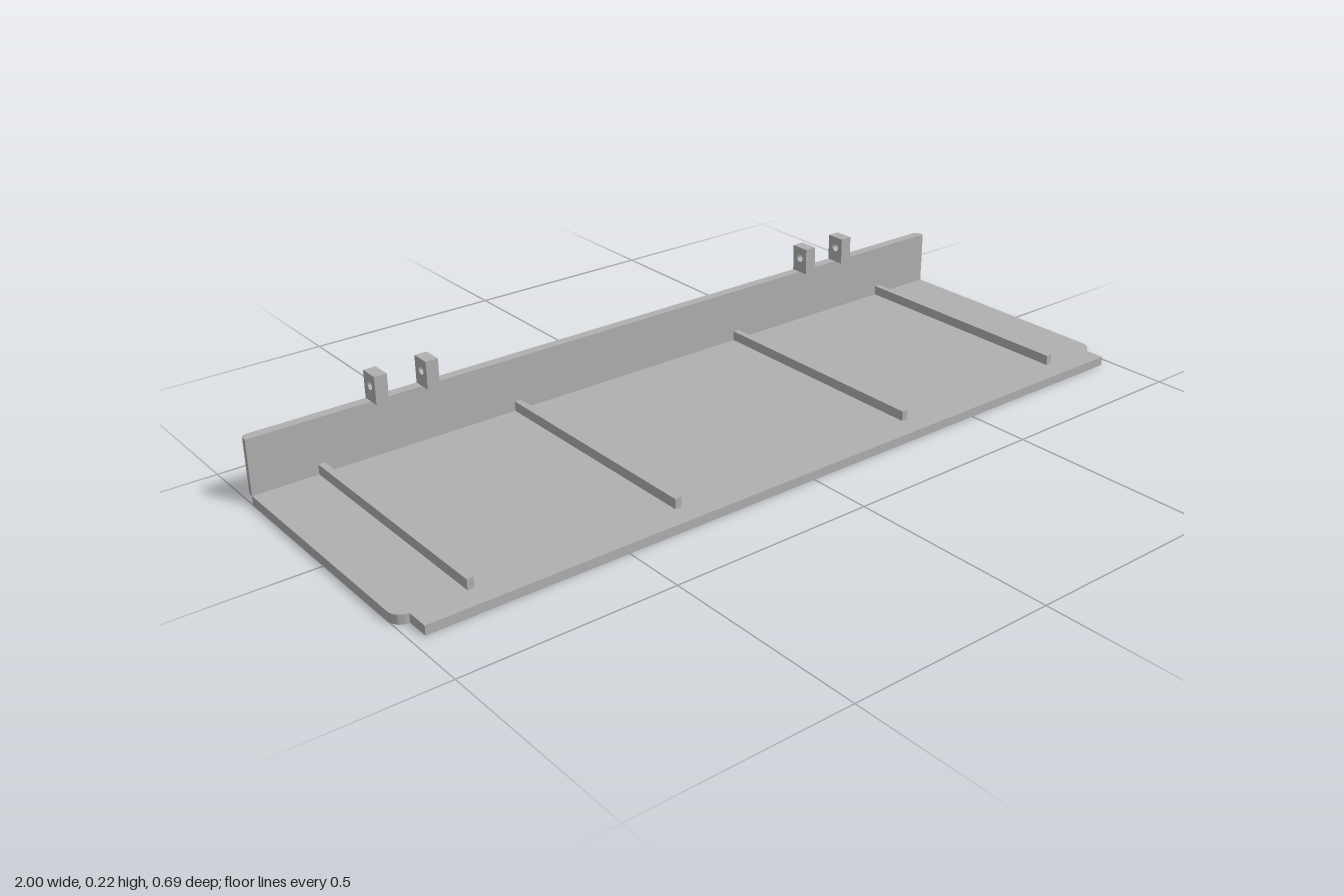
import * as THREE from 'three';
import { toCreasedNormals } from 'three/addons/utils/BufferGeometryUtils.js';

const BACK = -0.345, FRONT = 0.345, STEP = 0.289; // z stations
const PLATE = 0.022, WALL_TOP = 0.155, WALL_FRONT = -0.32;

export function createModel() {
  const group = new THREE.Group();
  const grey = new THREE.MeshStandardMaterial({ color: 0xb0b0b0 });
  grey.name = 'grey';

  const add = (name, geometry, x = 0, y = 0, z = 0) => {
    const mesh = new THREE.Mesh(geometry, grey);
    mesh.name = name;
    mesh.position.set(x, y, z);
    group.add(mesh);
  };

  // Extrudes a plan outline (x, -z) upwards, with smooth rounded corners
  const slab = (shape, height) => {
    const g = new THREE.ExtrudeGeometry(shape, { depth: height, bevelEnabled: false, curveSegments: 8 });
    return toCreasedNormals(g.rotateX(-Math.PI / 2), 0.6);
  };

  // Floor plate: rounded corners and a narrower front lip
  const r = 0.03, lip = 0.97;
  const floor = new THREE.Shape();
  floor.moveTo(-lip, -FRONT);
  floor.lineTo(lip, -FRONT);
  floor.lineTo(lip, -STEP);
  floor.absarc(1 - r, -STEP + r, r, -Math.PI / 2, 0);
  floor.absarc(1 - r, -BACK - r, r, 0, Math.PI / 2);
  floor.absarc(-1 + r, -BACK - r, r, Math.PI / 2, Math.PI);
  floor.absarc(-1 + r, -STEP + r, r, Math.PI, Math.PI * 1.5);
  floor.lineTo(-lip, -FRONT);
  add('floorPlate', slab(floor, PLATE));

  // Back wall with softened outer ends
  const w = 0.015;
  const wall = new THREE.Shape();
  wall.moveTo(-1, -WALL_FRONT);
  wall.lineTo(1, -WALL_FRONT);
  wall.absarc(1 - w, -BACK - w, w, 0, Math.PI / 2);
  wall.absarc(-1 + w, -BACK - w, w, Math.PI / 2, Math.PI);
  add('backWall', slab(wall, WALL_TOP - PLATE), 0, PLATE, 0);

  // Stiffening ribs across the floor
  const ribLength = STEP - WALL_FRONT, ribHeight = 0.024;
  const rib = new THREE.BoxGeometry(0.016, ribHeight, ribLength);
  for (const x of [-0.836, -0.333, 0.33, 0.832]) {
    add('floorRib', rib, x, PLATE + ribHeight / 2, (STEP + WALL_FRONT) / 2);
  }

  // Hinge lugs with a pin hole, profile drawn in (z, y)
  const lugFront = -0.296, lugTop = 0.222, lugWidth = 0.031;
  const profile = new THREE.Shape();
  profile.moveTo(BACK, WALL_TOP);
  profile.lineTo(lugFront, WALL_TOP);
  profile.lineTo(lugFront, lugTop);
  profile.lineTo(BACK, lugTop);
  profile.closePath();
  const hole = new THREE.Path();
  hole.absarc(-0.32, 0.193, 0.01, 0, Math.PI * 2, true);
  profile.holes.push(hole);
  const lug = toCreasedNormals(
    new THREE.ExtrudeGeometry(profile, { depth: lugWidth, bevelEnabled: false, curveSegments: 20 })
      .translate(0, 0, -lugWidth / 2)
      .rotateY(-Math.PI / 2), 0.6);
  for (const x of [-0.69, -0.563, 0.56, 0.685]) add('hingeLug', lug, x);

  return group;
}
